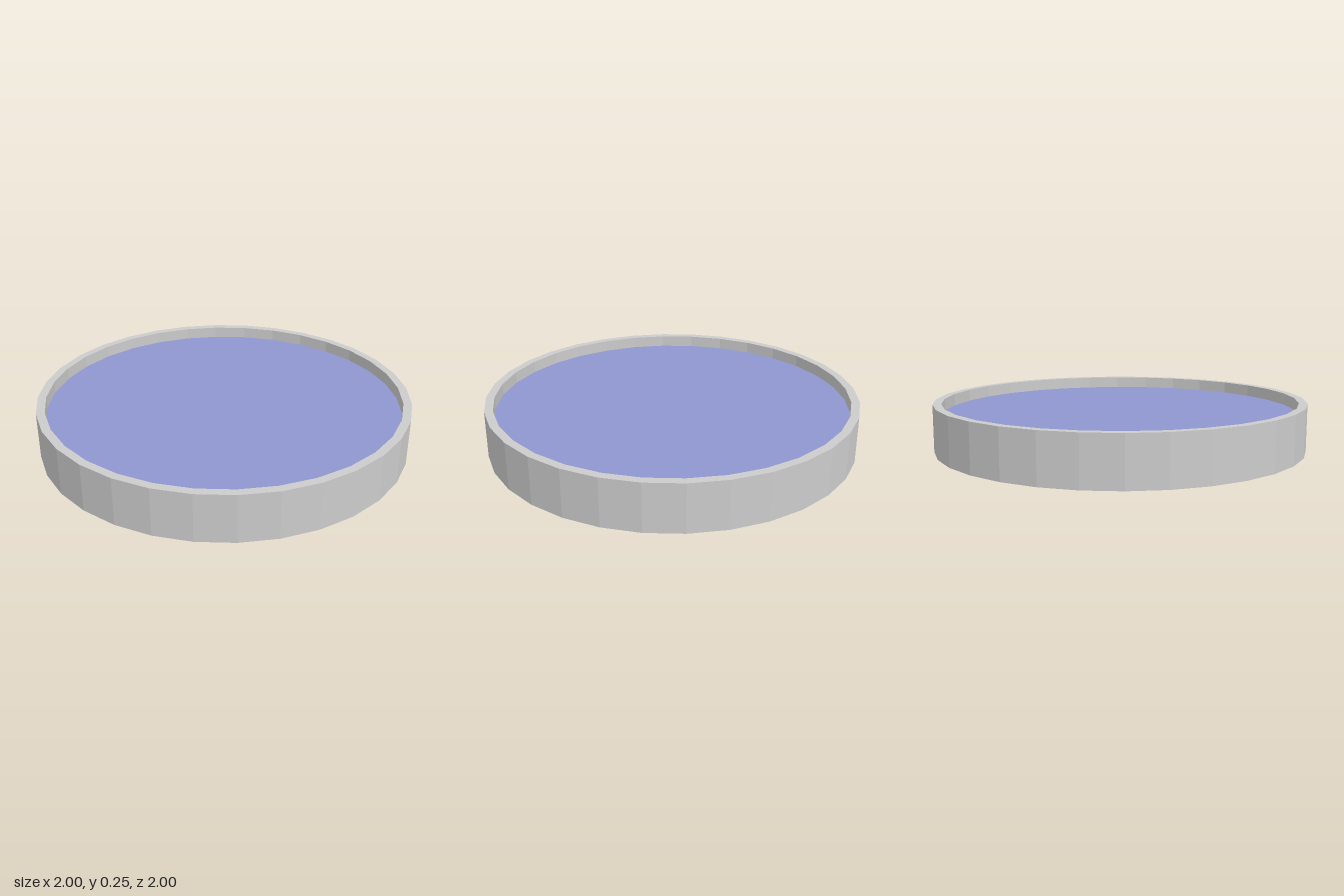
import * as THREE from 'three';

const SIDES = 32;
const HEIGHT = 0.254;
const INNER_RADIUS = 0.955;
const SURFACE_LEVEL = 0.19;

export function createModel() {
  const model = new THREE.Group();
  model.name = 'roundBasin';

  // Basin: underside, outer wall, flat rim and inner wall in one profile
  const profile = [
    [0, 0],
    [1, 0],
    [1, HEIGHT],
    [INNER_RADIUS, HEIGHT],
    [INNER_RADIUS, SURFACE_LEVEL],
  ].map(([r, y]) => new THREE.Vector2(r, y));
  const basin = new THREE.Mesh(
    new THREE.LatheGeometry(profile, SIDES),
    new THREE.MeshStandardMaterial({ color: 0xcccccc, flatShading: true })
  );
  basin.name = 'basin';
  model.add(basin);

  // Coloured surface set a little below the rim
  const surface = new THREE.Mesh(
    new THREE.CircleGeometry(INNER_RADIUS, SIDES).rotateX(-Math.PI / 2),
    new THREE.MeshStandardMaterial({ color: 0x8f96d0 })
  );
  surface.name = 'waterSurface';
  surface.position.y = SURFACE_LEVEL;
  model.add(surface);

  return model;
}
